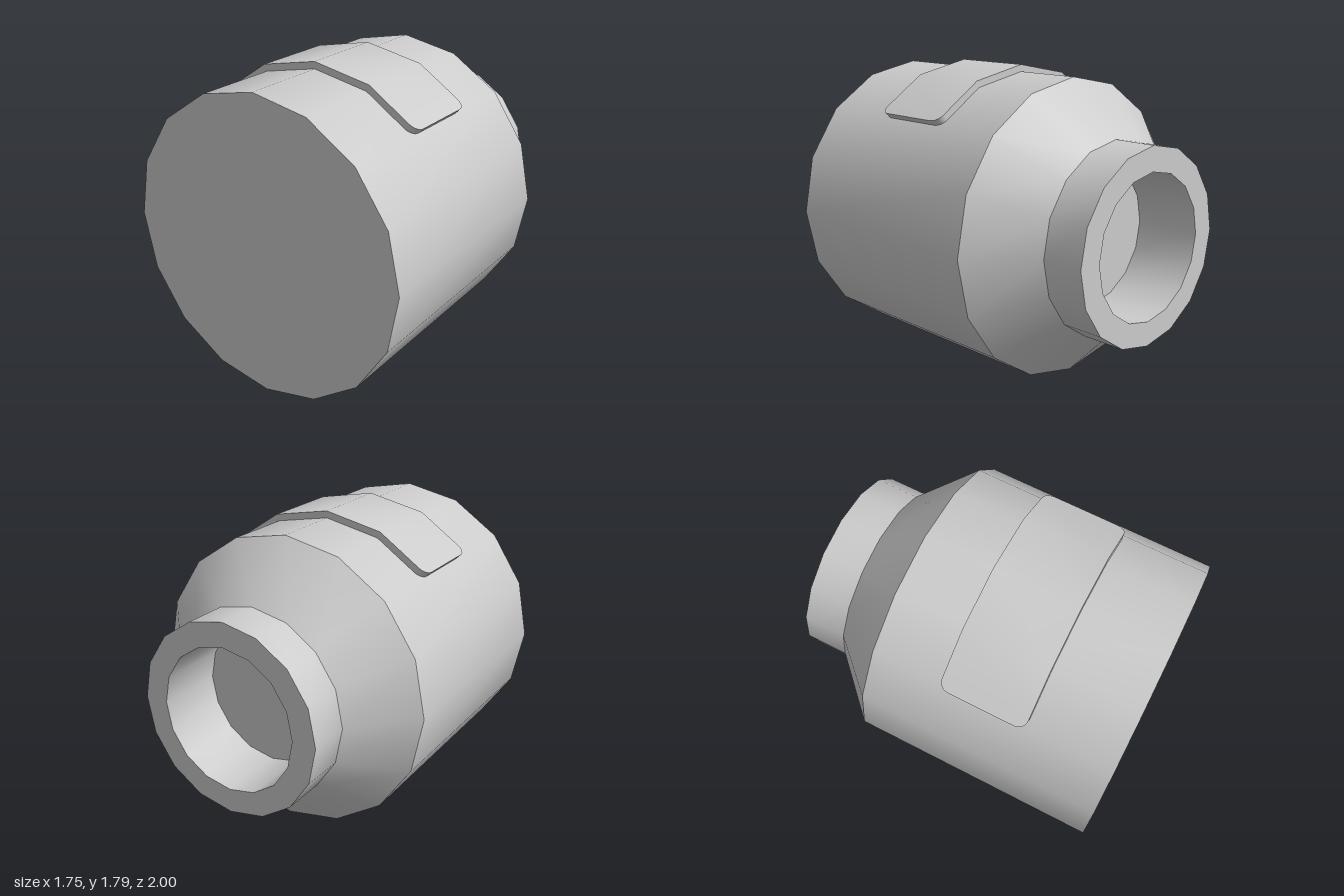
import * as THREE from 'three';
import { toCreasedNormals } from 'three/addons/utils/BufferGeometryUtils.js';

const R = 0.877;      // body radius, also the height of the axis
const SIDES = 16;
const STEP = (Math.PI * 2) / SIDES;
const CREASE = Math.PI / 6;

// Point on the 16-sided outline, s counted in facets from the top vertex
function onOutline(radius, s, z) {
  const i = Math.min(Math.floor(s), 1);
  const corner = (n) => new THREE.Vector3(Math.sin(n * STEP) * radius, Math.cos(n * STEP) * radius, z);
  return corner(i).lerp(corner(i + 1), s - i);
}

// Thin plate bent over four facets, with rounded corners
function bentPlate(inner, outer, halfWidth, cornerRadius) {
  const facet = 2 * outer * Math.sin(STEP / 2);
  const half = [];
  for (let k = 0; k <= 8; k++) {
    const a = (k / 8) * Math.PI / 2;
    half.push([
      2 - (cornerRadius * (1 - Math.sin(a))) / facet,
      halfWidth - cornerRadius * (1 - Math.cos(a)),
    ]);
  }
  // the arc starts where the straight edge ends
  const right = half.map(([s, h], k) => [2 - cornerRadius / facet + (cornerRadius / facet) * Math.sin((k / 8) * Math.PI / 2), h]);
  const left = right.map(([s, h]) => [-s, h]).reverse();
  const sections = [...left, [-1, halfWidth], [0, halfWidth], [1, halfWidth], ...right].map(([s, h]) => [
    onOutline(outer, s, h), onOutline(outer, s, -h), onOutline(inner, s, -h), onOutline(inner, s, h),
  ]);
  const pos = [];
  const quad = (a, b, c, d) => [a, b, c, a, c, d].forEach((p) => pos.push(p.x, p.y, p.z));
  for (let i = 0; i < sections.length - 1; i++) {
    const p = sections[i], q = sections[i + 1];
    for (let k = 0; k < 4; k++) quad(p[k], q[k], q[(k + 1) % 4], p[(k + 1) % 4]);
  }
  quad(...sections[0]);
  quad(...[...sections[sections.length - 1]].reverse());
  const geo = new THREE.BufferGeometry();
  geo.setAttribute('position', new THREE.Float32BufferAttribute(pos, 3));
  return toCreasedNormals(geo, CREASE);
}

export function createModel() {
  const group = new THREE.Group();
  const material = new THREE.MeshStandardMaterial({ color: 0xcccccc });

  // Body, shoulder, neck and bore in one turned profile (radius, z)
  const profile = [
    [0, -0.6], [0.42, -0.6], [0.42, -1], [0.5625, -1],
    [0.5625, -0.745], [R, -0.43], [R, 1], [0, 1],
  ].map(([r, z]) => new THREE.Vector2(r, z));
  const lathe = new THREE.LatheGeometry(profile, SIDES).rotateX(Math.PI / 2);
  const body = new THREE.Mesh(toCreasedNormals(lathe, CREASE), material);
  body.name = 'body';
  body.position.y = R;

  // Raised plate wrapped over the top
  const plate = new THREE.Mesh(bentPlate(R - 0.005, R + 0.041, 0.253, 0.06), material);
  plate.name = 'topPlate';
  plate.position.set(0, R, 0.238);

  group.add(body, plate);
  return group;
}
